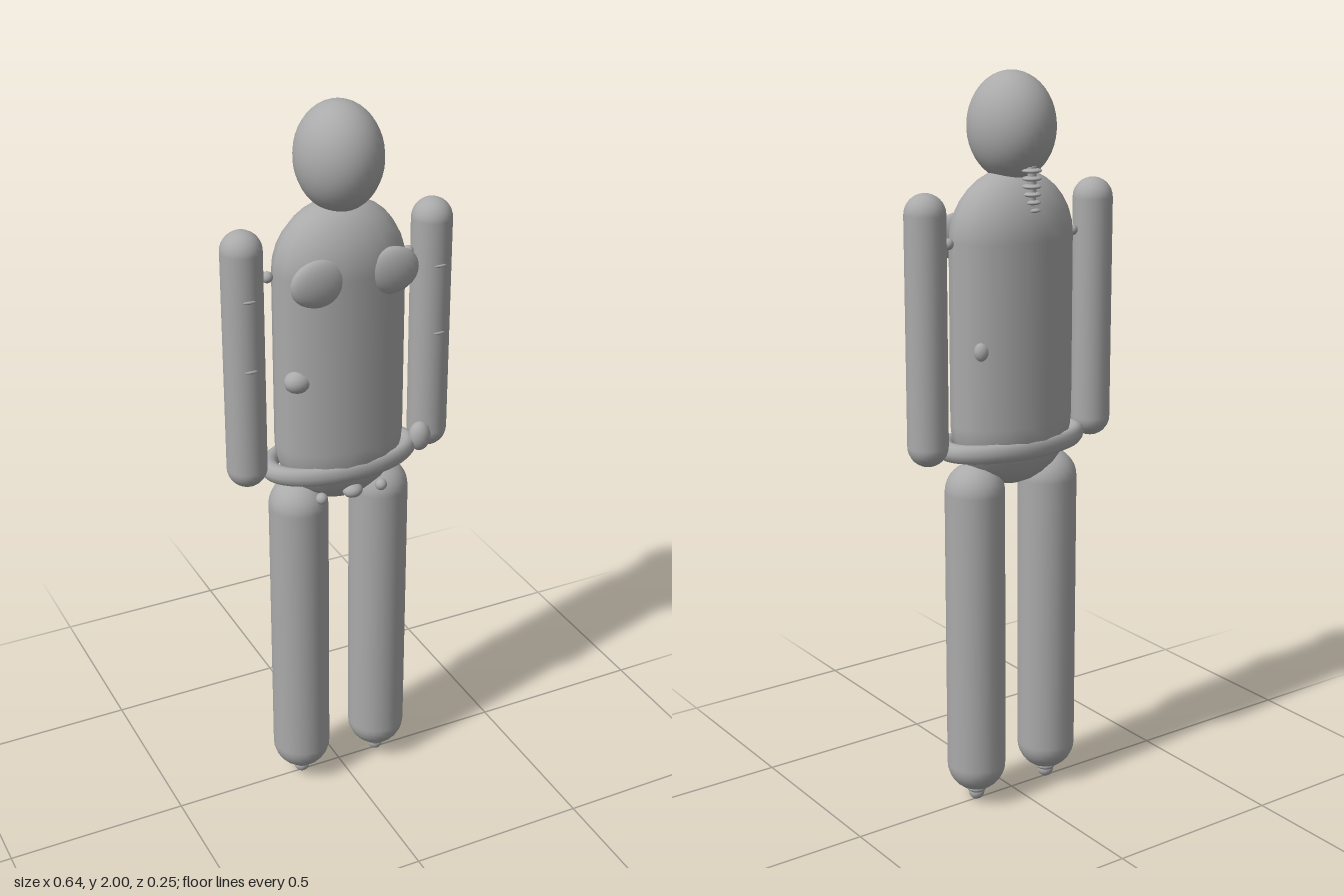
import * as THREE from 'three';

export function createModel() {
  const model = new THREE.Group();
  model.name = 'mannequin';
  const grey = new THREE.MeshStandardMaterial({ color: 0xaaaaaa });
  grey.name = 'plain grey';

  function add(name, geometry, x, y, z) {
    const mesh = new THREE.Mesh(geometry, grey);
    mesh.name = name;
    mesh.position.set(x, y, z);
    model.add(mesh);
    return mesh;
  }
  // Ellipsoid with radii rx, ry, rz
  const blob = (name, x, y, z, rx, ry = rx, rz = rx, seg = 20) =>
    add(name, new THREE.SphereGeometry(1, seg, Math.ceil(seg * 0.7)).scale(rx, ry, rz), x, y, z);
  // Upright capsule from y0 to y1, depth scaled by sz
  const capsule = (name, x, y0, y1, r, sz = 1, seg = 24) =>
    add(name, new THREE.CapsuleGeometry(r, y1 - y0 - 2 * r, 8, seg).scale(1, 1, sz), x, (y0 + y1) / 2, 0);

  // Head and torso
  blob('head', 0, 1.86, 0, 0.112, 0.14, 0.123, 32);
  capsule('torso', 0, 0.91, 1.755, 0.18, 0.66, 18);

  // Belt: flattened ring around the hips
  add('belt', new THREE.TorusGeometry(0.2, 0.026, 12, 40).rotateX(Math.PI / 2).scale(1, 1, 0.53), 0, 1.027, 0);

  // Neck vertebrae on a cord
  add('neckCord', new THREE.CylinderGeometry(0.012, 0.012, 0.12, 10), 0, 1.705, -0.088);
  for (let i = 0; i < 6; i++) {
    blob('vertebra', 0, 1.755 - i * 0.02, -0.088, 0.027 - i * 0.001, 0.007, 0.025, 14);
  }

  for (const s of [-1, 1]) {
    // Arm with shoulder joint and two small pads
    capsule('arm', s * 0.266, 1.0, 1.71, 0.054);
    blob('shoulderJoint', s * 0.198, 1.575, 0, 0.015);
    for (const y of [1.54, 1.35]) blob('armPad', s * 0.267, y, 0.047, 0.02, 0.006, 0.01, 12);

    // Chest
    blob('chestPad', s * 0.1, 1.575, 0.095, 0.078, 0.063, 0.027);

    // Leg, hip joints and foot
    capsule('leg', s * 0.12, 0.035, 0.985, 0.081);
    blob('hipJoint', s * 0.12, 1.0, 0, 0.02);
    blob('hipStud', s * 0.088, 0.952, 0.079, 0.016);
    blob('ankle', s * 0.12, 0.036, 0, 0.028, 0.014, 0.028);
    blob('foot', s * 0.12, 0.022, 0, 0.022);
  }

  // Single bumps
  blob('centreStud', 0, 0.96, 0.085, 0.028, 0.02, 0.024);
  blob('sideBump', -0.143, 1.3, 0.058, 0.038, 0.031, 0.031);
  blob('backBump', 0.137, 1.3, -0.062, 0.022, 0.028, 0.02);
  blob('hipBump', 0.223, 1.05, 0.041, 0.031, 0.042, 0.027);

  return model;
}
